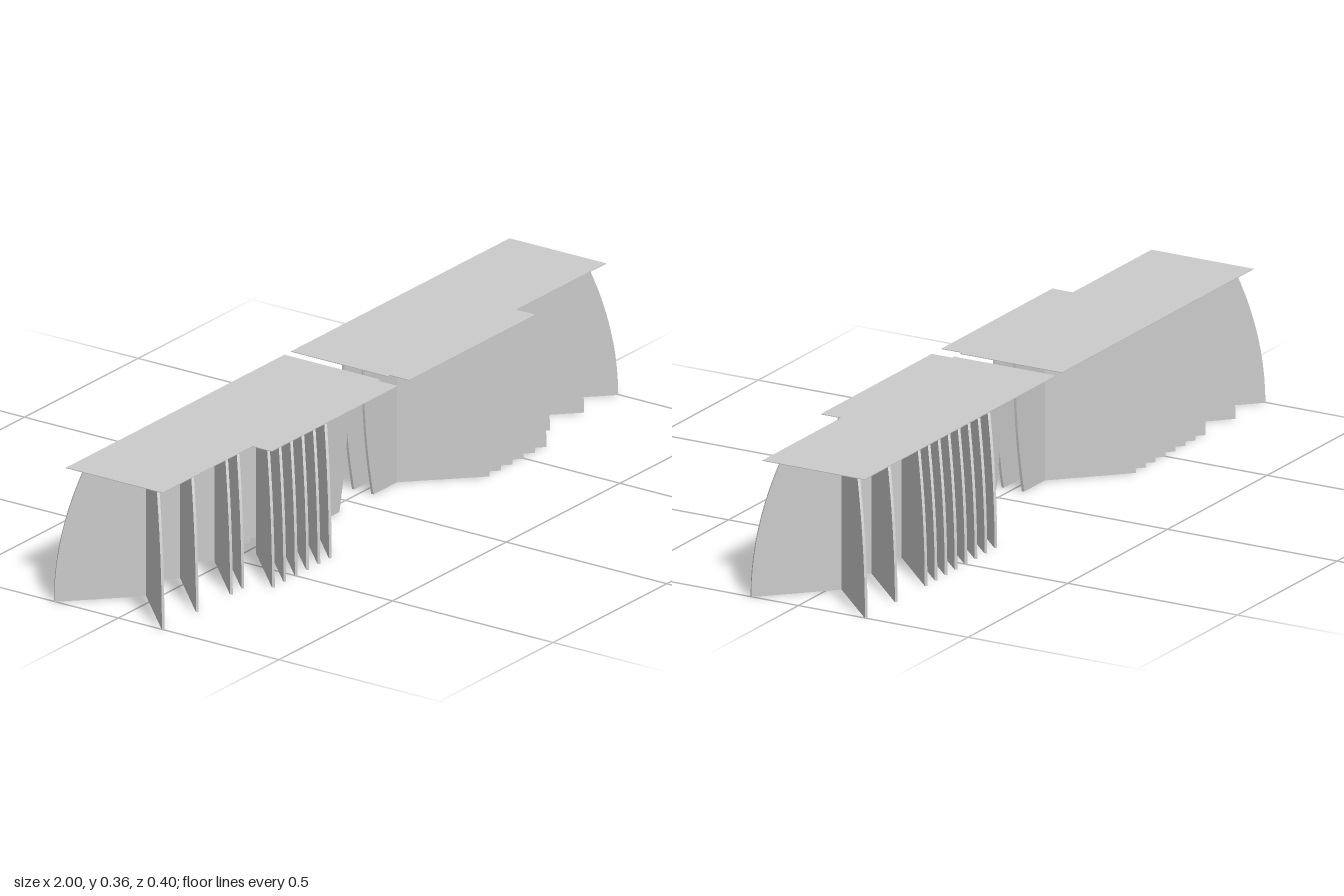
import * as THREE from 'three';

const H = 0.36;        // height of the fins
const T = 0.007;       // sheet thickness
const REACH = 0.17;    // fin reach along x and along z
const TAPER = 0.056;   // how far the fin tip curves in at the top
const STEPS = 10;

export function createModel() {
  const model = new THREE.Group();
  const mat = new THREE.MeshStandardMaterial({ color: 0xcccccc, flatShading: true, side: THREE.DoubleSide });

  const sheet = (points, depth) => {
    const shape = new THREE.Shape(points.map(([x, y]) => new THREE.Vector2(x, y)));
    return new THREE.ExtrudeGeometry(shape, { depth, bevelEnabled: false });
  };
  const add = (parent, name, geo) => {
    const mesh = new THREE.Mesh(geo, mat);
    mesh.name = name;
    parent.add(mesh);
    return mesh;
  };
  const levels = Array.from({ length: STEPS + 1 }, (_, i) => i / STEPS);

  // Upright fin: straight root, outer edge curving inward towards the top
  const finGeo = sheet([[0, 0],
    ...levels.map(t => [(REACH - TAPER * t * t) * Math.SQRT2, t * H]),
    [0, H]], T).translate(0, 0, -T / 2);

  // Inner wall: outer edge is the fold line, inner edge flares towards the top
  const wallGeo = sheet([[0.18, H], [0.18, 0],
    ...levels.map(t => [0.032 + 0.043 * (1 - t) ** 2, t * H])], T).translate(0, 0, -T / 2);

  // Fin tips: a close row of eight, then two spaced wider
  const tips = [0.35, 0.4, 0.45, 0.5, 0.55, 0.6, 0.65, 0.7, 0.85, 1];

  for (const s of [1, -1]) {
    const half = new THREE.Group();
    half.name = s > 0 ? 'leftHalf' : 'rightHalf';
    model.add(half);

    // Thin deck with a stepped front edge
    const outline = [[0.015, -0.18], [0.975, -0.18], [0.975, 0.12], [0.58, 0.12],
      [0.58, 0.18], [0.025, 0.18], [0.025, 0.12], [0.015, 0.12]];
    const deck = sheet(outline.map(([x, z]) => [s * x, z]), 0.002).rotateX(Math.PI / 2);
    add(half, 'deck', deck).position.y = H + 0.002;

    // Diagonal fins, splayed outward to the front and to the back
    for (const tip of tips) {
      for (const dir of [1, -1]) {
        const rootZ = dir > 0 && tip < 0.62 ? 0.03 : -0.03;
        const fin = add(half, dir > 0 ? 'frontFin' : 'backFin', finGeo);
        fin.position.set(s * (tip - REACH), 0, rootZ);
        fin.rotation.y = Math.atan2(-dir, s);
      }
    }

    // Pair of walls running from the first fins towards the centre gap
    for (const z of [0.03, -0.03]) {
      const wall = add(half, z > 0 ? 'frontInnerWall' : 'backInnerWall', wallGeo);
      wall.position.z = z;
      wall.rotation.y = s > 0 ? 0 : Math.PI;
    }
  }
  return model;
}
